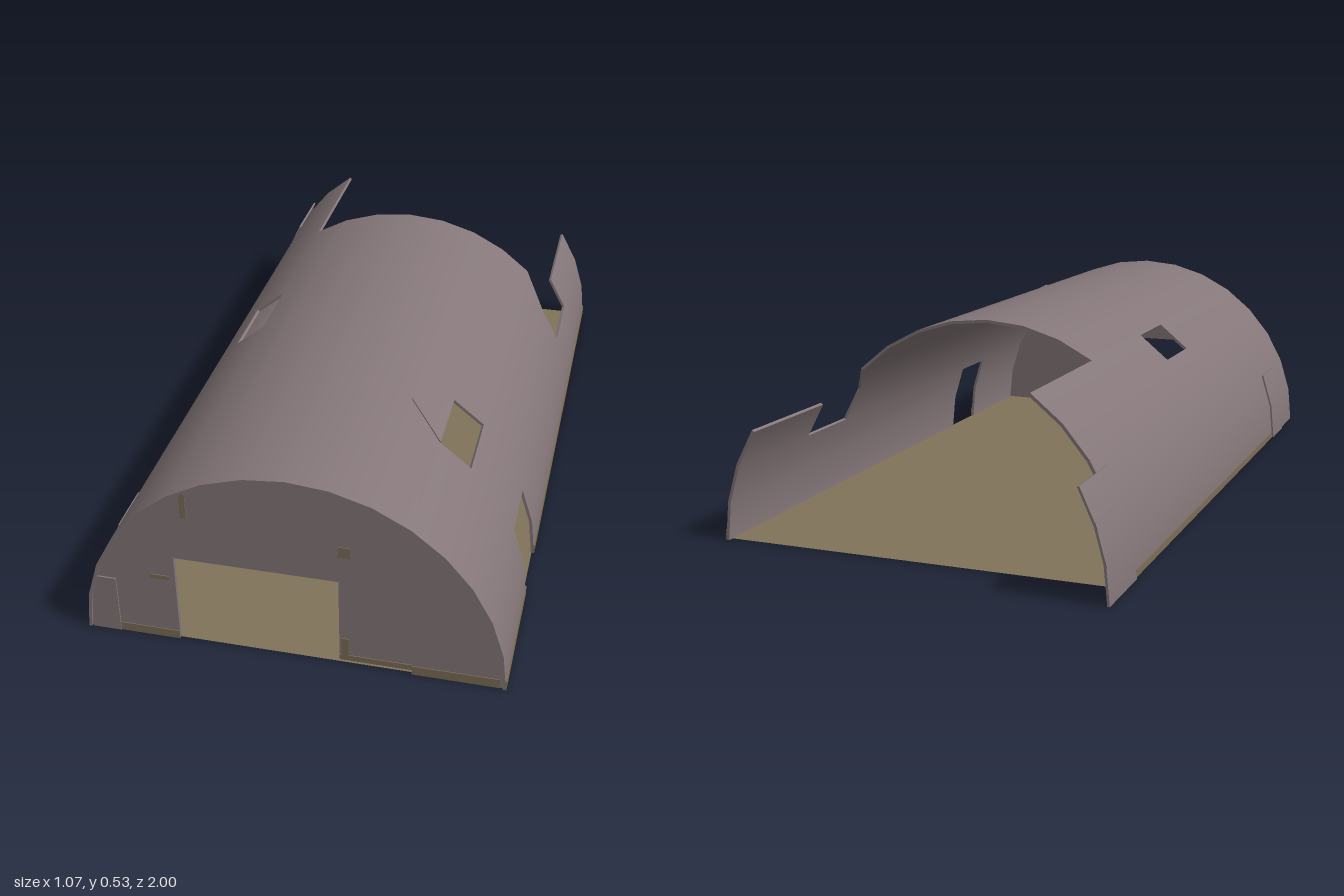
import * as THREE from 'three';

const R = 0.531, T = 0.008, N = 16;

// Curved sheet covering one strip of the arch; z may differ on its lower-angle and higher-angle edges
function sheetGeometry(i, frontZ, backZ, r = R, t = T) {
  const [f0, f1] = [].concat(frontZ, frontZ), [b0, b1] = [].concat(backZ, backZ);
  const a0 = (i / N) * Math.PI, a1 = ((i + 1) / N) * Math.PI;
  const P = (a, rad, z) => new THREE.Vector3(Math.cos(a) * rad, Math.sin(a) * rad, z);
  const ring = (rad) => [P(a0, rad, f0), P(a0, rad, b0), P(a1, rad, b1), P(a1, rad, f1)];
  const [A, B, C, D] = ring(r), [a, b, c, d] = ring(r - t);
  const pos = [], nor = [];
  const quad = (q, radial) => {
    const flat = new THREE.Vector3().subVectors(q[2], q[0]).cross(new THREE.Vector3().subVectors(q[3], q[1])).normalize();
    for (const k of [0, 1, 2, 0, 2, 3]) {
      const v = q[k];
      pos.push(v.x, v.y, v.z);
      const n = radial ? new THREE.Vector3(v.x, v.y, 0).normalize().multiplyScalar(radial) : flat;
      nor.push(n.x, n.y, n.z);
    }
  };
  quad([A, B, C, D], 1);
  quad([d, c, b, a], -1);
  quad([A, D, d, a]);
  quad([B, b, c, C]);
  quad([A, a, b, B]);
  quad([D, C, c, d]);
  const g = new THREE.BufferGeometry();
  g.setAttribute('position', new THREE.Float32BufferAttribute(pos, 3));
  g.setAttribute('normal', new THREE.Float32BufferAttribute(nor, 3));
  return g;
}

export function createModel() {
  const model = new THREE.Group();
  model.name = 'ruinedArchedHut';
  const mat = (name, color, side = THREE.FrontSide) => {
    const m = new THREE.MeshStandardMaterial({ color, side });
    m.name = name;
    return m;
  };
  const steel = mat('weathered steel', 0x857779);
  const earth = mat('earth', 0x80735a, THREE.DoubleSide);
  const stain = mat('mud stain', 0x7d6d58);
  const add = (name, geometry, material, parent = model) => {
    const m = new THREE.Mesh(geometry, material);
    m.name = name;
    parent.add(m);
  };

  // Arched shell: strips run from the left eave (0) over the ridge to the right eave (15)
  const shell = new THREE.Group();
  shell.name = 'archedShell';
  model.add(shell);
  const sheet = (name, i, f, b, r, t) => add(name, sheetGeometry(i, f, b, r, t), steel, shell);
  for (const i of [0, 1]) {
    sheet('leftWallFront', i, 1, 0.64);
    sheet('leftWallRear', i, 0.47, -0.89);
  }
  sheet('leftWallUpper', 2, 1, -0.34);
  sheet('leftWallRemnant', 2, -0.55, -0.89);
  sheet('leftTornRoof', 3, 1, [-0.34, -0.44]);
  sheet('leftRoofFront', 4, 1, 0.64);
  sheet('leftRoofRear', 4, 0.44, -0.44);
  sheet('bentFlap', 5, [0.64, 0.537], [0.44, 0.533], R + 0.003, 0.006);
  for (let i = 5; i <= 10; i++) sheet('roof', i, 1, -0.44);
  sheet('rightRoofFront', 11, 1, 0.18);
  sheet('rightRoofRear', 11, -0.02, -0.87);
  for (let i = 12; i <= 15; i++) sheet('rightWall', i, 1, -0.87);

  // Loose sheets patched over the right wall
  for (const i of [13.3, 14.15, 15]) sheet('looseRearSheet', i, -0.8, -1, R + 0.005, 0.006);
  for (const i of [14, 15]) sheet('wallPatch', i, 0.84, 0.7, R + 0.005, 0.006);

  // Front wall with a wide doorway
  const shape = new THREE.Shape();
  const rw = R - T;
  shape.moveTo(rw, 0);
  for (let i = 1; i <= N; i++) shape.lineTo(rw * Math.cos((i / N) * Math.PI), rw * Math.sin((i / N) * Math.PI));
  for (const [x, y] of [[-0.29, 0], [-0.29, 0.255], [0.3, 0.255], [0.3, 0]]) shape.lineTo(x, y);
  shape.closePath();
  const wall = new THREE.ExtrudeGeometry(shape, { depth: 0.012, bevelEnabled: false });
  add('frontWall', wall.translate(0, 0, 0.982), steel);
  const box = (name, x0, x1, y0, y1, z0, z1, m) => add(name,
    new THREE.BoxGeometry(x1 - x0, y1 - y0, z1 - z0).translate((x0 + x1) / 2, (y0 + y1) / 2, (z0 + z1) / 2), m);
  box('slidingDoor', 0.117, 0.31, 0, 0.255, 0.97, 0.982, steel);

  // Small plate at the foot of the front wall
  const plate = new THREE.Shape([[-0.445, 0], [-0.445, 0.165], [-0.495, 0.165], [-0.512, 0.1], [-0.52, 0]]
    .map(([x, y]) => new THREE.Vector2(x, y)));
  add('cornerPlate', new THREE.ExtrudeGeometry(plate, { depth: 0.004, bevelEnabled: false }).translate(0, 0, 0.994), steel);

  // Dried mud along the foot of the walls
  box('frontMudRight', -0.445, -0.29, 0, 0.024, 0.993, 0.996, stain);
  box('frontMudLeft', 0.3, 0.515, 0, 0.026, 0.993, 0.996, stain);
  box('doorMud', 0.117, 0.3, 0, 0.018, 0.981, 0.984, stain);
  box('doorMudSplash', 0.122, 0.14, 0.018, 0.07, 0.981, 0.984, stain);
  for (const [z0, z1] of [[0.64, 1], [-0.89, 0.47]]) box('leftMud', 0.527, 0.532, 0, 0.026, z0, z1, stain);
  box('rightMud', -0.532, -0.527, 0, 0.018, -0.79, 0.69, stain);

  // Small stains high on the front wall
  for (const [x, y, w, h] of [[-0.255, 0.42, 0.015, 0.075], [0.135, 0.345, 0.03, 0.03], [-0.33, 0.19, 0.05, 0.012]]) {
    box('wallStain', x - w / 2, x + w / 2, y - h / 2, y + h / 2, 0.993, 0.996, stain);
  }

  // Earth floor
  add('floor', new THREE.PlaneGeometry(1.05, 1.87).rotateX(-Math.PI / 2).translate(0, 0.002, 0.055), earth);
  return model;
}
